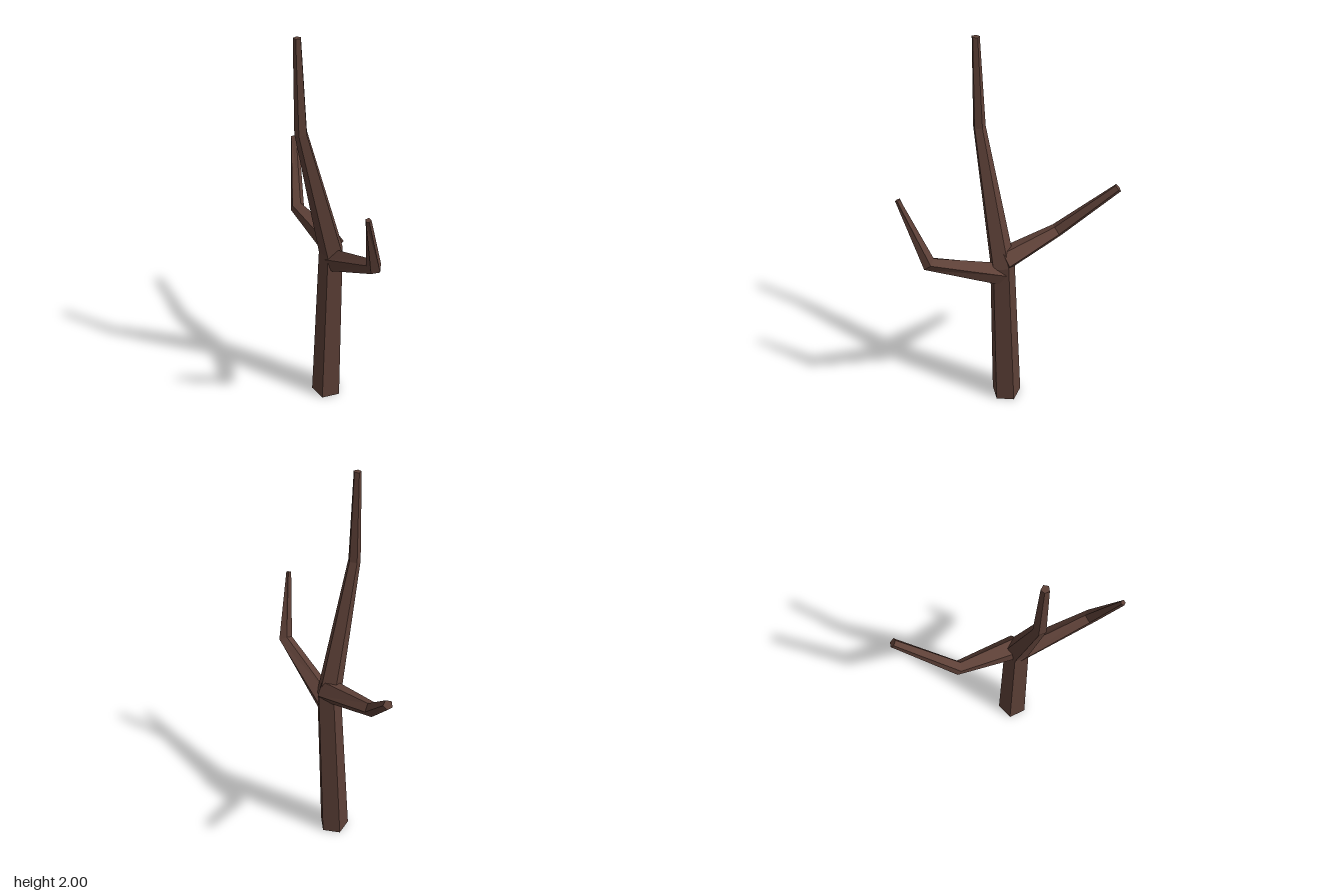
import * as THREE from 'three';

const SIDES = 5;

// Closed, tapering five-sided limb through stations [x, y, z, radius], with mitred bends.
// ref and startAngle (degrees) set how the pentagon is turned; endDir levels the two ends.
function limb(name, stations, ref, startAngle, material, endDir) {
  const points = stations.map(([x, y, z]) => new THREE.Vector3(x, y, z));
  const last = points.length - 1;
  const positions = [];
  const index = [];

  points.forEach((p, i) => {
    const before = points[Math.max(i - 1, 0)];
    const after = points[Math.min(i + 1, last)];
    const t = new THREE.Vector3();
    if (i > 0) t.add(p.clone().sub(before).normalize());
    if (i < last) t.add(after.clone().sub(p).normalize());
    t.normalize();
    if (endDir && (i === 0 || i === last)) t.copy(endDir);
    const side = t.clone().cross(ref).normalize();
    const rise = side.clone().cross(t);
    for (let k = 0; k < SIDES; k++) {
      const a = THREE.MathUtils.degToRad(startAngle) + (k / SIDES) * Math.PI * 2;
      const v = p.clone()
        .addScaledVector(side, stations[i][3] * Math.cos(a))
        .addScaledVector(rise, stations[i][3] * Math.sin(a));
      positions.push(v.x, v.y, v.z);
    }
  });

  // Bark faces between neighbouring rings
  for (let i = 0; i < last; i++) {
    for (let k = 0; k < SIDES; k++) {
      const n = (k + 1) % SIDES;
      const a = i * SIDES + k, b = i * SIDES + n;
      const c = a + SIDES, d = b + SIDES;
      index.push(a, c, d, a, d, b);
    }
  }
  // End caps
  const top = last * SIDES;
  for (let k = 1; k < SIDES - 1; k++) {
    index.push(0, k, k + 1);
    index.push(top, top + k + 1, top + k);
  }

  const indexed = new THREE.BufferGeometry();
  indexed.setAttribute('position', new THREE.Float32BufferAttribute(positions, 3));
  indexed.setIndex(index);
  const geometry = indexed.toNonIndexed();
  geometry.computeVertexNormals();
  const mesh = new THREE.Mesh(geometry, material);
  mesh.name = name;
  return mesh;
}

export function createModel() {
  const tree = new THREE.Group();
  tree.name = 'bareTree';
  const bark = new THREE.MeshStandardMaterial({ color: 0x5d4037 });
  bark.name = 'barkBrown';
  const up = new THREE.Vector3(0, 1, 0);
  const front = new THREE.Vector3(0, 0, 1);

  // Trunk, leaning forward above the fork
  tree.add(limb('trunk', [
    [0.024, 0, 0.022, 0.08],
    [0.05, 0.9, 0.013, 0.063],
    [0.048, 1.575, 0.187, 0.03],
    [0.047, 2, 0.198, 0.018],
  ], front, -14, bark, up));

  // Left branch, reaching forward
  tree.add(limb('leftBranch', [
    [0.06, 0.85, 0.012, 0.058],
    [0.418, 1.028, 0.082, 0.036],
    [0.487, 1.345, 0.192, 0.013],
  ], up, 90, bark));

  // Right branch, reaching back
  tree.add(limb('rightBranch', [
    [0.05, 0.93, 0.004, 0.062],
    [-0.257, 0.993, -0.02, 0.036],
    [-0.486, 1.245, -0.19, 0.022],
  ], up, 70, bark));

  return tree;
}
